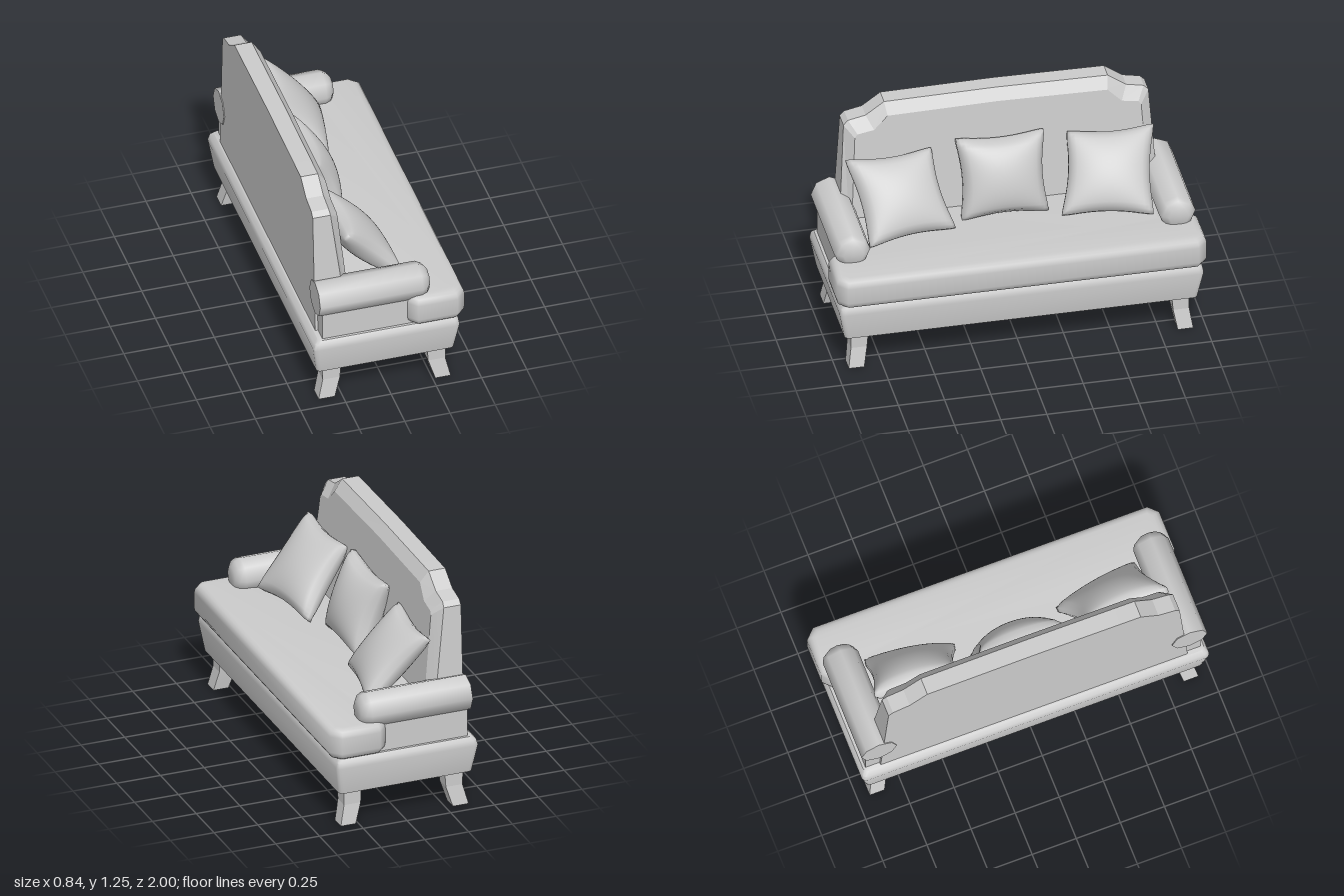
import * as THREE from 'three';
import { mergeVertices, toCreasedNormals } from 'three/addons/utils/BufferGeometryUtils.js';

const material = new THREE.MeshStandardMaterial({ color: 0xcccccc });
const v3 = (x, y, z) => new THREE.Vector3(x, y, z);

// Closed solid through rings of points, each ring counter-clockwise about the loft direction
function loft(rings, crease) {
  const pos = [];
  const tri = (...pts) => pts.forEach((p) => pos.push(p.x, p.y, p.z));
  const middle = (ring) => ring.reduce((s, p) => s.add(p), v3(0, 0, 0)).divideScalar(ring.length);
  const n = rings[0].length, first = rings[0], last = rings[rings.length - 1];
  const c0 = middle(first), c1 = middle(last);
  for (let i = 0; i < n; i++) {
    const j = (i + 1) % n;
    for (let k = 0; k < rings.length - 1; k++) {
      const a = rings[k], b = rings[k + 1];
      tri(a[i], a[j], b[j]);
      tri(a[i], b[j], b[i]);
    }
    tri(c0, first[j], first[i]);
    tri(c1, last[i], last[j]);
  }
  const g = new THREE.BufferGeometry();
  g.setAttribute('position', new THREE.Float32BufferAttribute(pos, 3));
  return toCreasedNormals(g, crease);
}

// Horizontal rectangle with rounded corners
function roundRect(x0, x1, z0, z1, y, r, steps) {
  const pts = [];
  const corners = [[x1 - r, z1 - r], [x1 - r, z0 + r], [x0 + r, z0 + r], [x0 + r, z1 - r]];
  corners.forEach(([cx, cz], q) => {
    for (let s = 0; s <= steps; s++) {
      const a = (q + (steps ? s / steps : 0)) * Math.PI / 2;
      pts.push(v3(cx + r * Math.sin(a), y, cz + r * Math.cos(a)));
    }
  });
  return pts;
}

// Puffed square cushion spanning four corners, with pinched edges
function pillow(tl, tr, bl, br, puff) {
  const box = new THREE.BoxGeometry(2, 2, 2, 20, 20, 1);
  box.deleteAttribute('normal');
  box.deleteAttribute('uv');
  const g = mergeVertices(box);
  const normal = tr.clone().sub(bl).cross(tl.clone().sub(br)).normalize();
  const p = g.attributes.position;
  for (let i = 0; i < p.count; i++) {
    const x = p.getX(i), y = p.getY(i), w = p.getZ(i);
    const round = 1 - 0.05 * (x * y) ** 6;
    const s = (1 + x * (1 - 0.13 * (1 - y * y)) * round) / 2;
    const t = (1 + y * (1 - 0.13 * (1 - x * x)) * round) / 2;
    const thick = 0.014 + puff * ((1 - x * x) * (1 - y * y)) ** 0.5;
    const q = bl.clone().lerp(br, s).lerp(tl.clone().lerp(tr, s), t).addScaledVector(normal, w * thick);
    p.setXYZ(i, q.x, q.y, q.z);
  }
  g.computeVertexNormals();
  return g;
}

export function createModel() {
  const group = new THREE.Group();
  const add = (name, geometry) => {
    const mesh = new THREE.Mesh(geometry, material);
    mesh.name = name;
    group.add(mesh);
    return mesh;
  };

  // Flared base with a softened top edge
  add('base', loft([
    [-0.395, 0.365, 0.955, 0.2], [-0.42, 0.39, 0.985, 0.36],
    [-0.412, 0.385, 0.98, 0.39], [-0.39, 0.372, 0.965, 0.41],
  ].map(([x0, x1, z, y]) => roundRect(x0, x1, -z, z, y, 0.025, 3)), 0.7));

  // T-shaped seat cushion, wide in front of the arms
  const bevel = 0.045;
  const half = [[0.35, 0.955], [0.375, 0.93]];
  const wing = [[-0.25, 0.78], [0.15, 0.78], [0.15, 0.935], [0.17, 0.955], ...half];
  const outline = [...wing, ...wing.map(([x, z]) => [x, -z]).reverse()];
  const seat = new THREE.ExtrudeGeometry(
    new THREE.Shape(outline.map(([x, z]) => new THREE.Vector2(x, z))),
    { depth: 0.18 - 2 * bevel, bevelSize: bevel, bevelThickness: bevel, bevelSegments: 4 });
  seat.rotateX(-Math.PI / 2).translate(0, 0.41 + bevel, 0);
  add('seatCushion', toCreasedNormals(seat, 0.85));

  // Backrest with stepped top corners and a bevelled, reclined front
  const outer = [[0, 1.245], [0.605, 1.237], [0.705, 1.165], [0.8, 1.145], [0.825, 1.12], [0.87, 0.41]];
  const inner = [[0, 1.185], [0.595, 1.175], [0.67, 1.1], [0.76, 1.085], [0.775, 1.065], [0.81, 0.41]];
  const backRing = (profile, xAt) => [
    ...profile, ...profile.slice(1).reverse().map(([z, y]) => [-z, y]),
  ].map(([z, y]) => v3(xAt(y), y, z));
  add('backrest', loft([
    backRing(outer, () => -0.38),
    backRing(outer, (y) => -0.285 + 0.12 * Math.max(0, 1.145 - y)),
    backRing(inner, (y) => -0.24 + 0.102 * (1.18 - y)),
  ], 0.2));

  // Octagonal arm rolls with rounded fronts, on side panels
  const rollProfile = [[0, -0.385], [0.1, -0.385], [0.1, 0.185], [0.085, 0.215], [0.055, 0.235], [0, 0.235]]
    .map(([r, h]) => new THREE.Vector2(r, h));
  for (const side of [1, -1]) {
    const label = side > 0 ? 'left' : 'right';
    const roll = new THREE.LatheGeometry(rollProfile, 8).rotateZ(-Math.PI / 2);
    add(label + 'ArmRoll', toCreasedNormals(roll, 0.9)).position.set(0, 0.635, side * 0.88);
    add(label + 'ArmPanel', new THREE.BoxGeometry(0.565, 0.2, 0.14))
      .position.set(-0.0825, 0.51, side * 0.88);

    // Splayed legs: x range at the foot, the knee and the top
    const legs = {
      FrontLeg: [[0.265, 0.35], [0.23, 0.325], [0.225, 0.325]],
      BackLeg: [[-0.38, -0.29], [-0.352, -0.257], [-0.355, -0.25]],
    };
    const zRange = [[0.848, 0.932], [0.828, 0.915], [0.82, 0.915]];
    for (const [name, xs] of Object.entries(legs)) {
      add(label + name, loft(xs.map(([x0, x1], i) => {
        const [z0, z1] = zRange[i].map((z) => z * side).sort((a, b) => a - b);
        return roundRect(x0, x1, z0, z1, [0, 0.112, 0.21][i], 0, 0);
      }), 0.1));
    }
  }

  // Three loose pillows, the outer pair turned inwards
  const ot = [-0.2, 0.965, 0.845], it = [-0.225, 0.965, 0.36];
  const ib = [0.04, 0.59, 0.275], ob = [0.135, 0.59, 0.775];
  const flip = ([x, y, z]) => v3(x, y, -z);
  add('leftPillow', pillow(v3(...ot), v3(...it), v3(...ob), v3(...ib), 0.085));
  add('rightPillow', pillow(flip(it), flip(ot), flip(ib), flip(ob), 0.085));
  add('middlePillow', pillow(
    v3(-0.2, 1.015, 0.25), v3(-0.2, 1.015, -0.25), v3(-0.05, 0.575, 0.245), v3(-0.05, 0.575, -0.245), 0.1));

  return group;
}
